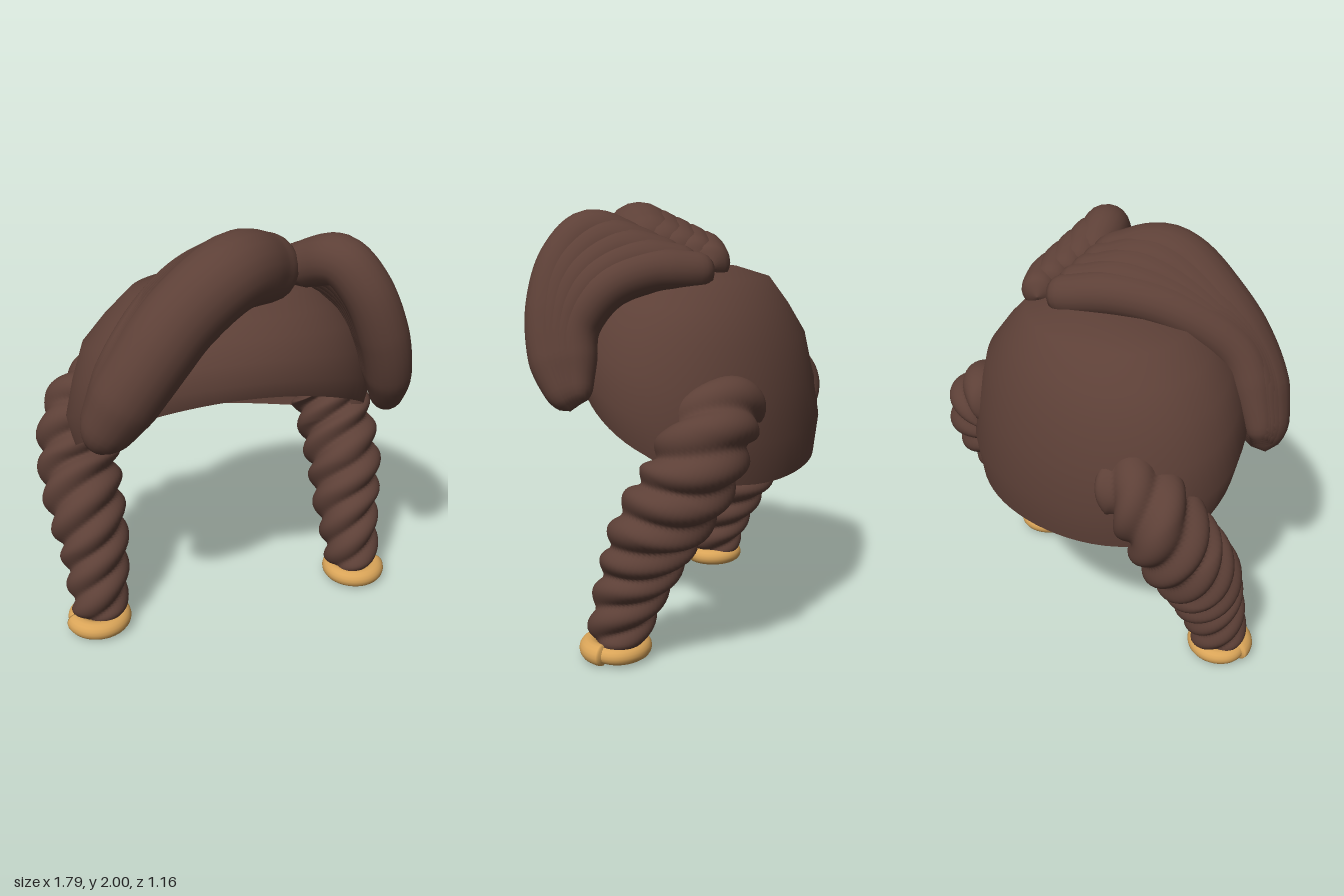
import * as THREE from 'three';

const V = (p) => new THREE.Vector3(...p);

// Closed-around grid surface: f(u, v) gives a point, u along, v around (0..1)
function loft(rows, cols, f) {
  const pos = [], idx = [];
  for (let i = 0; i <= rows; i++) {
    for (let j = 0; j < cols; j++) pos.push(...f(i / rows, j / cols).toArray());
  }
  for (let i = 0; i < rows; i++) {
    for (let j = 0; j < cols; j++) {
      const a = i * cols + j, b = i * cols + (j + 1) % cols;
      idx.push(a, b, a + cols, b, b + cols, a + cols);
    }
  }
  const g = new THREE.BufferGeometry();
  g.setAttribute('position', new THREE.Float32BufferAttribute(pos, 3));
  g.setIndex(idx);
  g.computeVertexNormals();
  return g;
}

// Tube with rounded ends; radius(t, angle) shapes the section
function tube(points, rows, cols, endLength, radius) {
  const curve = new THREE.CatmullRomCurve3(points);
  const frames = curve.computeFrenetFrames(rows);
  const length = curve.getLength();
  return loft(rows, cols, (t, v) => {
    const i = Math.round(t * rows), a = v * Math.PI * 2;
    const e = Math.min(1, Math.min(t, 1 - t) * length / endLength);
    const r = radius(t, a) * Math.sqrt(Math.max(1e-6, 1 - (1 - e) ** 2));
    return curve.getPointAt(t)
      .addScaledVector(frames.normals[i], r * Math.cos(a))
      .addScaledVector(frames.binormals[i], r * Math.sin(a));
  });
}

// Linear lookup in an evenly spaced list
function sample(list, t) {
  const x = t * (list.length - 1), i = Math.min(Math.floor(x), list.length - 2);
  return THREE.MathUtils.lerp(list[i], list[i + 1], x - i);
}

// Dome in broad bands; its rim is low at the nape and arches over the forehead
function capGeometry() {
  const profile = [[0.96, 0], [1, 0.2], [0.945, 0.42], [0.87, 0.64], [0.73, 0.79],
    [0.57, 0.93], [0.3, 0.985], [0.001, 1]];
  const rows = profile.length - 1;
  return loft(rows, 72, (u, v) => {
    const a = -v * Math.PI * 2, [spread, height] = profile[Math.round(u * rows)];
    const c = Math.cos(a), s = Math.sin(a);
    const rim = 0.79 + 0.53 * ((s + 1) / 2) ** 1.85 - 0.035 * c * Math.abs(s);
    return new THREE.Vector3(0.75 * spread * c, rim + (1.71 - rim) * height, -0.02 + 0.56 * spread * s);
  });
}

// Row of overlapping strands blended between a front and a rear path
function fringe(name, material, front, rear, rFront, rRear, count = 5) {
  const group = new THREE.Group();
  group.name = name;
  for (let k = 0; k < count; k++) {
    const w = k / (count - 1);
    const path = front.map((p, i) => V(p).lerp(V(rear[i]), w));
    const r = THREE.MathUtils.lerp(rFront, rRear, w);
    const taper = [0.85, 1, 1, 1, 0.92, 0.55];
    const strand = new THREE.Mesh(tube(path, 48, 20, r * 0.8, (t) => r * sample(taper, t)), material);
    strand.name = name + 'Strand' + (k + 1);
    group.add(strand);
  }
  return group;
}

// Rope-like pigtail of three strands twisted together
function pigtailGeometry(side) {
  const path = [
    [0.375, 1.13, -0.31], [0.52, 1.11, -0.3], [0.645, 0.98, -0.265], [0.685, 0.8, -0.18],
    [0.69, 0.6, -0.05], [0.675, 0.4, 0.04], [0.68, 0.2, 0.11], [0.685, 0.03, 0.14],
  ].map(([x, y, z]) => new THREE.Vector3(side * x, y, z));
  const radii = [0.16, 0.18, 0.2, 0.205, 0.205, 0.2, 0.185, 0.165, 0.15, 0.135];
  const third = Math.PI * 2 / 3;
  return tube(path, 150, 48, 0.09, (t, a) => {
    const b = THREE.MathUtils.euclideanModulo(a - t * 3.1 * Math.PI * 2, third) - third / 2;
    const lobe = 0.34 * Math.cos(b) + Math.sqrt(0.436 - (0.34 * Math.sin(b)) ** 2);
    return sample(radii, t) * lobe;
  });
}

// Band that curls inward past one full turn
function bandGeometry(side) {
  const path = [];
  for (let i = 0; i <= 32; i++) {
    const turn = i / 32 * 1.4, a = turn * Math.PI * 2;
    const r = 0.118 - 0.075 * THREE.MathUtils.smoothstep(turn, 0.9, 1.4);
    path.push(new THREE.Vector3(side * (0.69 + r * Math.cos(a)), 0.051, 0.138 + r * Math.sin(a)));
  }
  return tube(path, 90, 16, 0.015, (t) => 0.048 - 0.014 * t);
}

export function createModel() {
  const hair = new THREE.MeshStandardMaterial({ color: 0x5d4037 });
  hair.name = 'brown hair';
  hair.side = THREE.DoubleSide;
  const gold = new THREE.MeshStandardMaterial({ color: 0xd9a458 });
  gold.name = 'golden band';

  const model = new THREE.Group();
  model.name = 'pigtailWig';
  const add = (name, geometry, material) => {
    const mesh = new THREE.Mesh(geometry, material);
    mesh.name = name;
    model.add(mesh);
  };

  add('cap', capGeometry(), hair);

  // Fringe swept to both sides of an off-centre parting
  model.add(fringe('rightFringe', hair,
    [[0.26, 1.75, 0.12], [0.12, 1.79, 0.2], [-0.06, 1.825, 0.32], [-0.3, 1.67, 0.37],
      [-0.5, 1.44, 0.405], [-0.63, 1.23, 0.38], [-0.7, 1.1, 0.34]],
    [[0.24, 1.7, -0.15], [0.12, 1.73, -0.1], [-0.05, 1.76, 0], [-0.28, 1.71, 0.16],
      [-0.51, 1.54, 0.32], [-0.64, 1.31, 0.32], [-0.7, 1.16, 0.3]], 0.17, 0.105));
  model.add(fringe('leftFringe', hair,
    [[0.28, 1.74, 0.13], [0.35, 1.81, 0.24], [0.425, 1.84, 0.36], [0.51, 1.73, 0.44],
      [0.595, 1.52, 0.465], [0.655, 1.3, 0.43], [0.7, 1.1, 0.33]],
    [[0.29, 1.68, -0.18], [0.37, 1.69, -0.09], [0.46, 1.69, 0.05], [0.565, 1.62, 0.21],
      [0.62, 1.46, 0.32], [0.66, 1.28, 0.31], [0.7, 1.13, 0.29]], 0.115, 0.095));

  // Pigtails with their bands
  for (const [name, side] of [['left', 1], ['right', -1]]) {
    add(name + 'Pigtail', pigtailGeometry(side), hair);
    add(name + 'Band', bandGeometry(side), gold);
  }
  return model;
}
